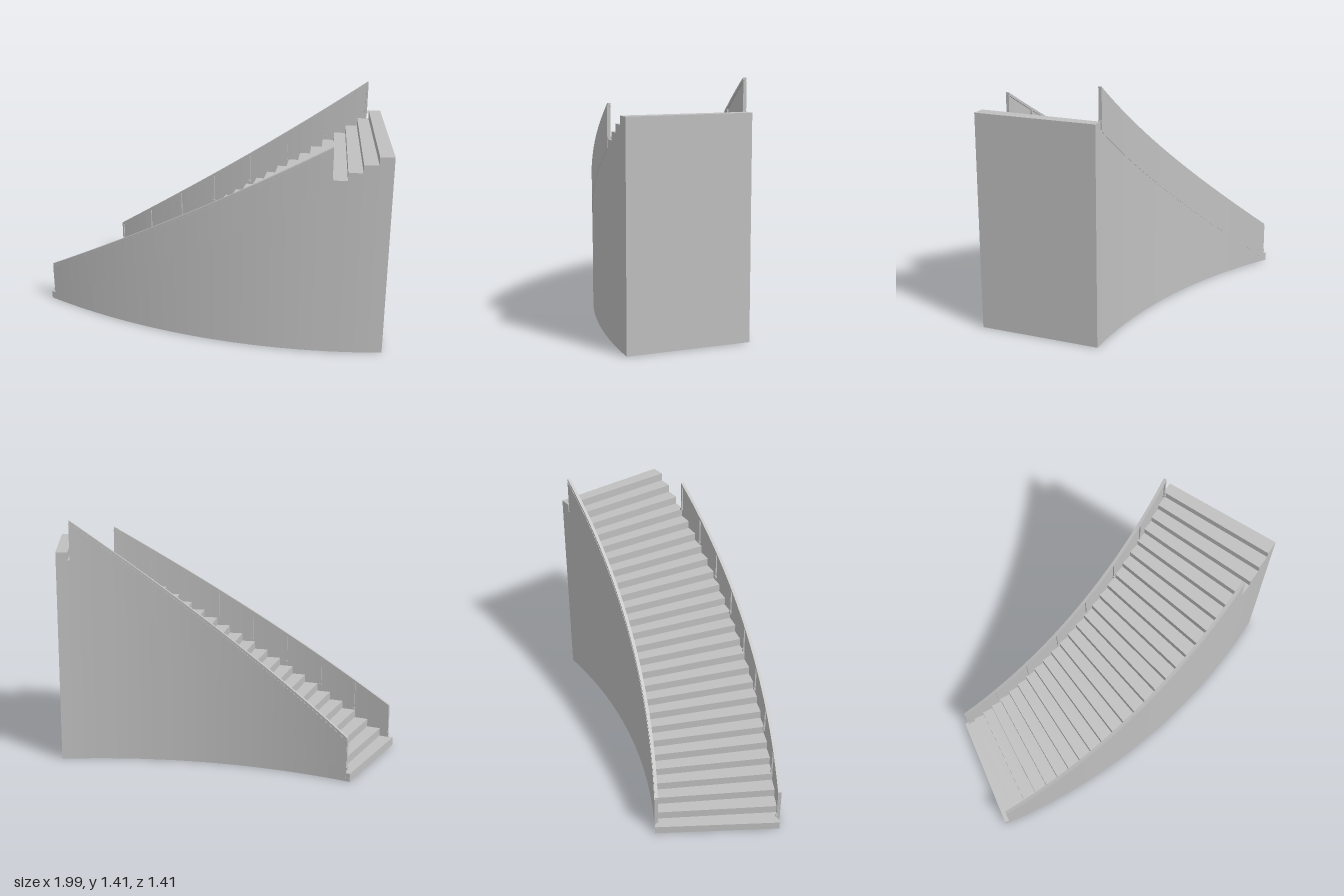
import * as THREE from 'three';

const STEPS = 26, RISE = 1.23 / STEPS;
const START = 0.1431, SWEEP = 0.5917;      // start angle and total turn
const CX = -1.413, CZ = -2.85;             // centre of the curve
const R_IN = 2.89, R_OUT = 3.587;

// Point on the stair: u counts steps along the curve, r is the radius
const angle = u => START + SWEEP * u / STEPS;
const at = (u, r, y) => [CX + r * Math.sin(angle(u)), y, CZ + r * Math.cos(angle(u))];

function quads(list) {
  const pos = [];
  for (const [a, b, c, d] of list) pos.push(...a, ...b, ...c, ...a, ...c, ...d);
  const g = new THREE.BufferGeometry();
  g.setAttribute('position', new THREE.Float32BufferAttribute(pos, 3));
  g.computeVertexNormals();
  return g;
}

// Rectangular section following the curve between radii r0 and r1
function curvedBar(u0, u1, r0, r1, low, high) {
  const n = 26, list = [];
  const ring = u => [at(u, r0, low(u)), at(u, r1, low(u)), at(u, r1, high(u)), at(u, r0, high(u))];
  for (let i = 0; i < n; i++) {
    const a = ring(u0 + (u1 - u0) * i / n), b = ring(u0 + (u1 - u0) * (i + 1) / n);
    for (let k = 0; k < 4; k++) {
      const m = (k + 1) % 4;
      list.push([a[k], b[k], b[m], a[m]]);
    }
    if (i === 0) list.push(a);
    if (i === n - 1) list.push([...b].reverse());
  }
  return quads(list);
}

export function createModel() {
  const model = new THREE.Group();
  const grey = new THREE.MeshStandardMaterial({ color: 0xc0c0c0, side: THREE.DoubleSide });
  grey.name = 'light grey';
  const add = (name, geometry, parent = model) => {
    const mesh = new THREE.Mesh(geometry, grey);
    mesh.name = name;
    parent.add(mesh);
    return mesh;
  };

  // Steps and the stepped side walls, open underneath
  const treads = [], risers = [], inner = [], outer = [];
  for (let i = 0; i < STEPS; i++) {
    const y0 = i * RISE, y = y0 + RISE, j = i + 1;
    risers.push([at(i, R_IN, y0), at(i, R_OUT, y0), at(i, R_OUT, y), at(i, R_IN, y)]);
    treads.push([at(i, R_IN, y), at(i, R_OUT, y), at(j, R_OUT, y), at(j, R_IN, y)]);
    outer.push([at(i, R_OUT, 0), at(j, R_OUT, 0), at(j, R_OUT, y), at(i, R_OUT, y)]);
    inner.push([at(j, R_IN, 0), at(i, R_IN, 0), at(i, R_IN, y), at(j, R_IN, y)]);
  }
  const top = STEPS * RISE;
  add('treads', quads(treads));
  add('risers', quads(risers));
  add('outerWall', quads(outer));
  add('innerWall', quads(inner));
  add('endWall', quads([[at(STEPS, R_OUT, 0), at(STEPS, R_IN, 0), at(STEPS, R_IN, top), at(STEPS, R_OUT, top)]]));

  // Railings: handrail, thin panel and evenly spaced posts
  const railTop = u => 0.236 + RISE * u;
  const railBottom = u => railTop(u) - 0.016;
  const railings = [
    { name: 'innerRailing', r: 2.899, face: 2.888, end: 24.8, posts: 8 },
    { name: 'outerRailing', r: 3.578, face: 3.589, end: 22, posts: 9 },
  ];
  for (const { name, r, face, end, posts } of railings) {
    const group = new THREE.Group();
    group.name = name;
    model.add(group);
    const begin = 0.35;
    add('handrail', curvedBar(begin, end, r - 0.009, r + 0.009, railBottom, railTop), group);
    add('panel', curvedBar(begin, end, Math.min(r, face), Math.max(r, face), u => RISE * u, railBottom), group);
    for (let i = 0; i < posts; i++) {
      const u = begin + 0.05 + (end - begin - 0.1) * i / (posts - 1);
      const low = RISE * (u + 1), high = railBottom(u);
      const post = add('post', new THREE.BoxGeometry(0.01, high - low, 0.016), group);
      post.position.set(...at(u, r, (low + high) / 2));
      post.rotation.y = angle(u);
      const foot = add('postFoot', new THREE.BoxGeometry(0.016, 0.014, 0.022), group);
      foot.position.set(...at(u, r, low + 0.007));
      foot.rotation.y = angle(u);
    }
  }
  return model;
}
